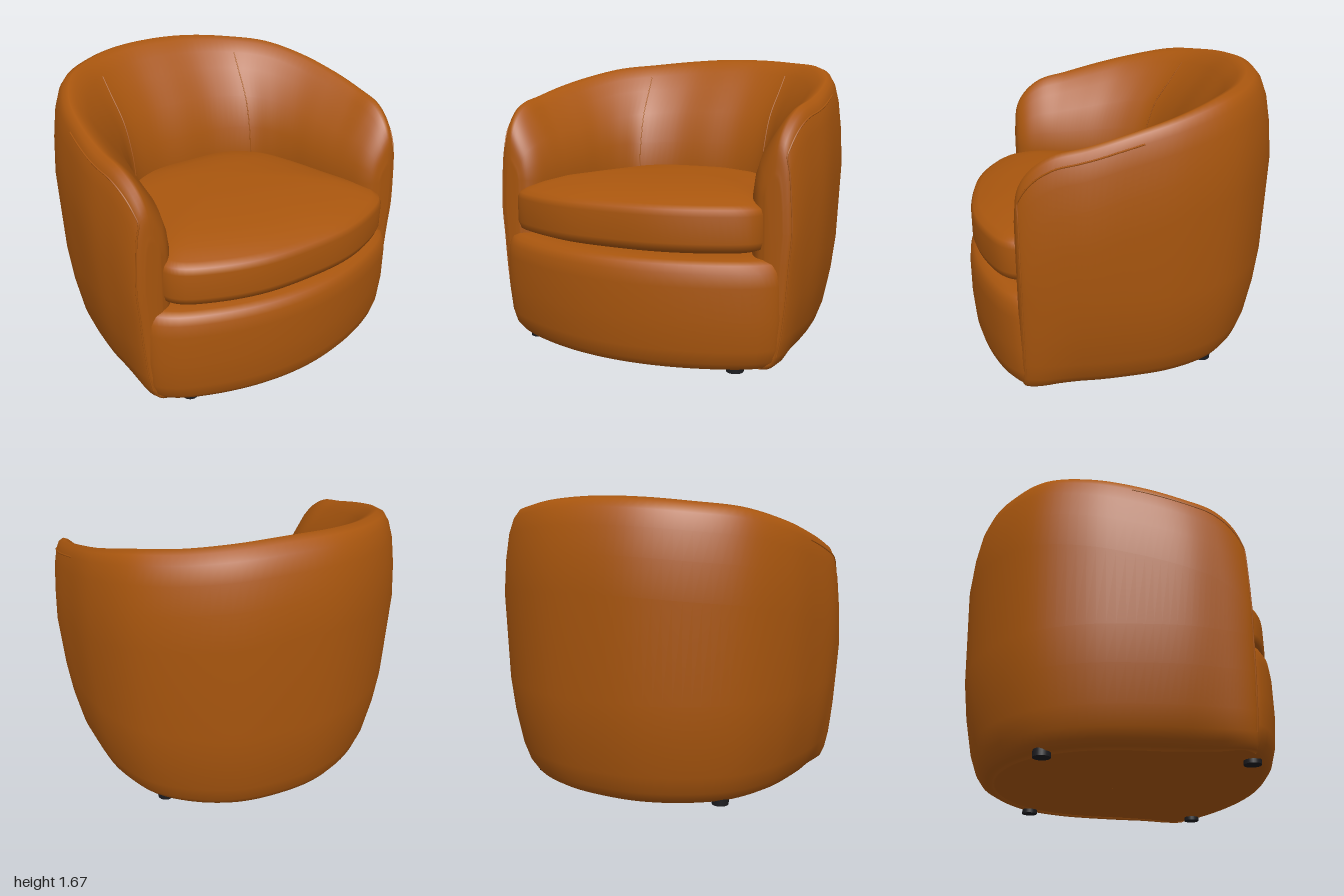
import * as THREE from 'three';

const V = (x, y, z) => new THREE.Vector3(x, y, z);
const { lerp, smoothstep } = THREE.MathUtils;

// Skin a list of closed rings (equal point counts) with smooth normals.
function loft(rings) {
  const n = rings[0].length, pos = [], index = [];
  rings.forEach(r => r.forEach(p => pos.push(p.x, p.y, p.z)));
  for (let i = 0; i < rings.length - 1; i++) {
    for (let j = 0; j < n; j++) {
      const a = i * n + j, b = i * n + (j + 1) % n;
      index.push(a, b, a + n, b, b + n, a + n);
    }
  }
  const g = new THREE.BufferGeometry();
  g.setAttribute('position', new THREE.Float32BufferAttribute(pos, 3));
  g.setIndex(index);
  g.computeVertexNormals();
  return g;
}

// Upholstered block: half plan outline [x, z] mirrored, scaled by [y, scale] rows.
function pillow(half, profile) {
  const mirrored = half.slice(1, -1).reverse().map(([x, z]) => [-x, z]);
  const curve = new THREE.CatmullRomCurve3([...half, ...mirrored].map(([x, z]) => V(x, 0, z)), true);
  const N = 96;
  return loft(profile.map(([y, s]) => Array.from({ length: N }, (_, j) => {
    const p = curve.getPoint(j / N);
    return V(p.x * s, y, p.z * s);
  })));
}

// Half of the wraparound shell, back centre to arm tip:
// outer x, z | crest x, z | inner x, z at seat level | crest height
const STATIONS = [
  [0, -0.91, 0, -0.74, 0, -0.32, 1.67],
  [0.3, -0.878, 0.27, -0.715, 0.24, -0.315, 1.66],
  [0.58, -0.755, 0.51, -0.62, 0.44, -0.24, 1.637],
  [0.8, -0.565, 0.71, -0.46, 0.52, -0.12, 1.61],
  [0.935, -0.28, 0.84, -0.23, 0.57, 0.02, 1.55],
  [0.985, 0.02, 0.895, 0.02, 0.6, 0.17, 1.485],
  [1.0, 0.25, 0.905, 0.24, 0.63, 0.32, 1.425],
  [0.975, 0.42, 0.89, 0.42, 0.66, 0.44, 1.38],
  [0.95, 0.53, 0.87, 0.53, 0.69, 0.53, 1.3],
  [0.925, 0.59, 0.855, 0.59, 0.73, 0.585, 1.2],
  [0.88, 0.612, 0.84, 0.612, 0.79, 0.612, 1.03],
];
// Outer wall taper [y, scale], shoulder [drop, blend], inner slope [drop fraction, blend]
const TAPER = [[0.025, 0.7], [0.025, 0.79], [0.05, 0.835], [0.1, 0.872], [0.2, 0.91], [0.4, 0.952], [0.6, 0.978]];
const SHOULDER = [[0.5, 1], [0.3, 0.9], [0.15, 0.74], [0.06, 0.53], [0.015, 0.3]];
const SLOPE = [[0, 0], [0.03, 0.12], [0.12, 0.29], [0.25, 0.46], [0.48, 0.76], [0.75, 0.93], [1, 1]];

const full = [...STATIONS.slice(1).reverse().map(r => r.map((v, k) => (k < 6 && k % 2 === 0 ? -v : v))), ...STATIONS];
const rail = k => new THREE.CatmullRomCurve3(full.map(r => V(r[k], r[6], r[k + 1])));
const [outerRail, crestRail, innerRail] = [rail(0), rail(2), rail(4)];

// Cross-section of the shell at t (0 = right arm tip, 1 = left arm tip)
function section(t) {
  const O = outerRail.getPoint(t), C = crestRail.getPoint(t), Q = innerRail.getPoint(t);
  const H = C.y, k = Math.min(1, (H - 0.75) / 0.5);
  const upright = 0.4 * smoothstep(O.z, 0.25, 0.6); // the wall tapers less towards the arm fronts
  return [
    ...TAPER.map(([y, s]) => V(O.x * lerp(s, 1, upright), y, O.z < 0 ? O.z * s : O.z)),
    ...SHOULDER.map(([d, w]) => V(lerp(C.x, O.x, w), H - d * k, lerp(C.z, O.z, w))),
    ...SLOPE.map(([v, w]) => V(lerp(C.x, Q.x, w), lerp(H, 0.93, v), lerp(C.z, Q.z, w))),
    V(Q.x, 0.5, Q.z),
  ];
}

function shellGeometry() {
  const N = 120, rings = [];
  for (let i = 0; i <= N; i++) rings.push(section(i / N));
  // Close both arm tips with a collapsed ring
  const collapse = ring => {
    const c = ring.reduce((s, p) => s.add(p), V(0, 0, 0)).divideScalar(ring.length);
    return ring.map(() => c.clone());
  };
  return loft([collapse(rings[0]), ...rings, collapse(rings[N])]);
}

// Thin welt along the arm shoulder, then down the front edge
function weltPoints() {
  const shoulder = TAPER.length + 3, pts = [];
  for (let t = 0.74; t < 0.941; t += 0.025) pts.push(section(t)[shoulder]);
  const tip = section(0.95);
  for (let j = shoulder; j >= 3; j--) pts.push(tip[j]);
  return pts;
}

// Upright seam where the inner back meets the inner arm
const seamPoints = () => section(0.6).slice(TAPER.length + SHOULDER.length + 2, -1);

export function createModel() {
  const leather = new THREE.MeshStandardMaterial({ color: 0xa9560e });
  leather.name = 'tan leather';
  const black = new THREE.MeshStandardMaterial({ color: 0x1c1c20 });
  black.name = 'black plastic';

  const model = new THREE.Group();
  model.name = 'tubArmchair';
  const add = (name, geometry, material) => {
    const m = new THREE.Mesh(geometry, material);
    m.name = name;
    model.add(m);
    return m;
  };

  // Wraparound back and arms
  add('backAndArms', shellGeometry(), leather);

  // Welts and seams on both sides
  for (const [side, sign] of [['left', 1], ['right', -1]]) {
    for (const [part, points, radius] of [['Welt', weltPoints(), 0.005], ['InnerSeam', seamPoints(), 0.004]]) {
      const path = new THREE.CatmullRomCurve3(points.map(p => V(p.x * sign, p.y, p.z)));
      add(side + part, new THREE.TubeGeometry(path, 80, radius, 6), leather);
    }
  }

  // Base with bowed front
  add('base', pillow(
    [[0, 0.91], [0.3, 0.88], [0.6, 0.79], [0.8, 0.685], [0.875, 0.59], [0.83, 0.46], [0.79, 0.2], [0.77, -0.1],
      [0.69, -0.36], [0.5, -0.59], [0.26, -0.71], [0, -0.75]],
    [[0.022, 0.001], [0.022, 0.9], [0.032, 0.935], [0.07, 0.965], [0.14, 0.985], [0.3, 1], [0.48, 1],
      [0.55, 0.992], [0.59, 0.97], [0.608, 0.935], [0.615, 0.85], [0.615, 0.001]]), leather);

  // Domed seat cushion
  add('seatCushion', pillow(
    [[0, 0.88], [0.3, 0.86], [0.55, 0.785], [0.73, 0.685], [0.78, 0.59], [0.74, 0.3], [0.68, 0],
      [0.6, -0.25], [0.4, -0.42], [0, -0.46]],
    [[0.615, 0.001], [0.62, 0.82], [0.638, 0.92], [0.66, 0.985], [0.7, 1], [0.84, 1], [0.872, 0.985],
      [0.892, 0.945], [0.923, 0.85], [0.952, 0.72], [0.975, 0.5], [0.985, 0.25], [0.986, 0.001]]), leather);

  // Small round feet, the back pair set slightly closer
  for (const sign of [-1, 1]) {
    for (const [name, x, z] of [['frontFoot', 0.64, 0.63], ['backFoot', 0.6, -0.45]]) {
      add(name, new THREE.CylinderGeometry(0.047, 0.047, 0.04, 24), black).position.set(sign * x, 0.02, z);
    }
  }
  return model;
}
